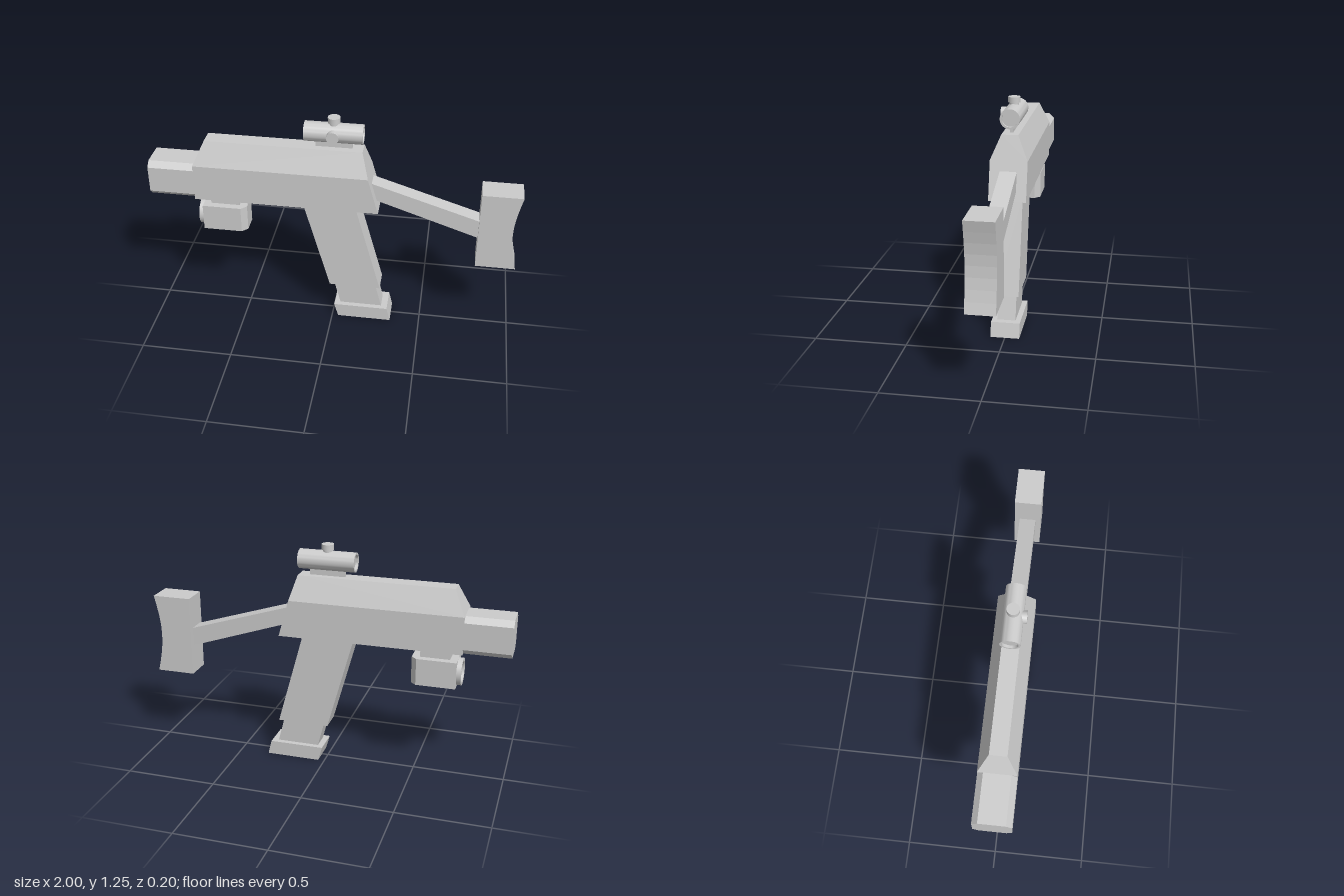
import * as THREE from 'three';
import { toCreasedNormals } from 'three/addons/utils/BufferGeometryUtils.js';
import { ConvexGeometry } from 'three/addons/geometries/ConvexGeometry.js';

const flat = new THREE.MeshStandardMaterial({ color: 0xcccccc, flatShading: true });
const smooth = new THREE.MeshStandardMaterial({ color: 0xcccccc });

export function createModel() {
  const model = new THREE.Group();

  const add = (name, geometry, material = flat, parent = model) => {
    const mesh = new THREE.Mesh(geometry, material);
    mesh.name = name;
    parent.add(mesh);
    return mesh;
  };

  // Side outline in x/y, extruded evenly about z = 0
  const slab = (points, width) => {
    const shape = new THREE.Shape(points.map(([x, y]) => new THREE.Vector2(x, y)));
    return new THREE.ExtrudeGeometry(shape, { depth: width, bevelEnabled: false })
      .translate(0, 0, -width / 2);
  };

  // Tube along x with a recessed disc at both ends
  const recessedTube = (outer, inner, length, recess) => {
    const h = length / 2, d = h - recess;
    const profile = [[0, -d], [inner, -d], [inner, -h], [outer, -h], [outer, h], [inner, h], [inner, d], [0, d]]
      .map(([r, y]) => new THREE.Vector2(r, y));
    return toCreasedNormals(new THREE.LatheGeometry(profile, 32), 0.6).rotateZ(Math.PI / 2);
  };

  // Receiver: straight sides with a tapered top and sloped ends
  const corners = [];
  for (const s of [-1, 1]) {
    for (const [x, y, z] of [
      [-0.75, 0.74, 0.1], [0.25, 0.74, 0.1], [-0.75, 0.945, 0.1],
      [0.192, 0.945, 0.1], [-0.69, 1.075, 0.045], [0.155, 1.075, 0.045],
    ]) corners.push(new THREE.Vector3(x, y, z * s));
  }
  add('receiver', new ConvexGeometry(corners));

  // Barrel shroud: chamfered box section running along x
  const section = [
    [-0.07, 0.74], [0.07, 0.74], [0.1, 0.77], [0.1, 0.915],
    [0.07, 0.945], [-0.07, 0.945], [-0.1, 0.915], [-0.1, 0.77],
  ];
  add('barrelShroud', slab(section, 0.25).rotateY(Math.PI / 2).translate(-0.875, 0, 0));

  // Handle and the pieces below it
  add('grip', slab([[-0.16, 0.74], [-0.015, 0.215], [0.27, 0.215], [0.125, 0.74]], 0.13));
  add('gripInsert', slab([[0.01, 0.215], [0.045, 0.08], [0.28, 0.08], [0.245, 0.215]], 0.1));
  add('gripBase', slab([[0.012, 0.08], [0.035, 0], [0.335, 0], [0.315, 0.08]], 0.156));

  // Stock: sloping arm and shoulder pad with a hollowed rear
  add('stockArm', slab([[0.18, 0.9], [0.18, 0.808], [0.785, 0.605], [0.785, 0.71]], 0.09));
  const pad = [[0.785, 0.89], [0.785, 0.44], [1, 0.44]];
  for (let i = 1; i <= 8; i++) {
    const t = i / 8;
    pad.push([1 - 0.035 * Math.sin(Math.PI * t), 0.44 + 0.45 * t]);
  }
  add('shoulderPad', slab(pad, 0.148));

  // Lamp under the front
  const lamp = new THREE.Group();
  lamp.name = 'lamp';
  model.add(lamp);
  add('lampMount', new THREE.BoxGeometry(0.16, 0.07, 0.08).translate(-0.6, 0.71, 0), flat, lamp);
  const plan = [[-0.72, -0.078], [-0.507, -0.078], [-0.477, -0.048], [-0.477, 0.048], [-0.507, 0.078], [-0.72, 0.078]];
  add('lampBody', slab(plan, 0.148).rotateX(Math.PI / 2).translate(0, 0.61, 0), flat, lamp);
  add('lampLens', recessedTube(0.074, 0.058, 0.06, 0.015).translate(-0.715, 0.61, 0), smooth, lamp);

  // Sight on top, with two adjustment knobs
  const sight = new THREE.Group();
  sight.name = 'sight';
  model.add(sight);
  add('sightMount', new THREE.BoxGeometry(0.195, 0.05, 0.018).translate(0, 1.095, 0), flat, sight);
  add('sightTube', recessedTube(0.053, 0.042, 0.31, 0.015).translate(0, 1.157, 0), smooth, sight);
  const knob = (name, reach) => {
    const group = new THREE.Group();
    group.name = name;
    group.position.y = 1.157;
    add('knobNeck', new THREE.CylinderGeometry(0.025, 0.025, 0.04, 24).translate(0, reach - 0.04, 0), smooth, group);
    add('knobCap', new THREE.CylinderGeometry(0.033, 0.033, 0.03, 24).translate(0, reach - 0.015, 0), smooth, group);
    sight.add(group);
    return group;
  };
  knob('topKnob', 0.09);
  knob('sideKnob', 0.07).rotation.x = Math.PI / 2;

  return model;
}
